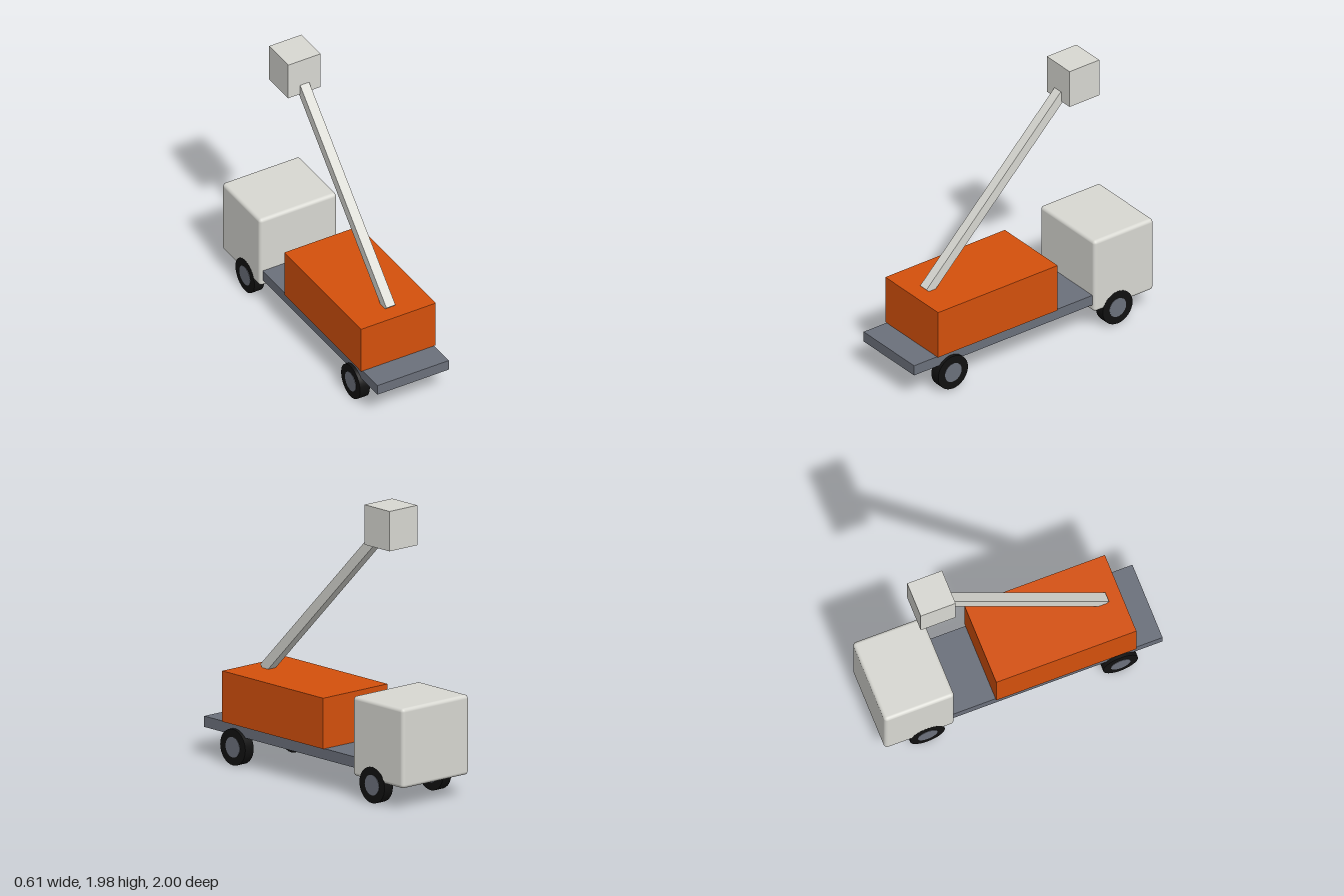
import * as THREE from 'three';
import { RoundedBoxGeometry } from 'three/addons/geometries/RoundedBoxGeometry.js';

const material = (name, color) => {
  const m = new THREE.MeshStandardMaterial({ color });
  m.name = name;
  return m;
};

export function createModel() {
  const group = new THREE.Group();
  group.name = 'bucketTruck';
  const white = material('offWhite', 0xd8d8d2);
  const orange = material('orange', 0xd4500c);
  const grey = material('slateGrey', 0x6b707b);
  const black = material('tyreBlack', 0x111111);

  const add = (name, geometry, mat, x, y, z, parent = group) => {
    const mesh = new THREE.Mesh(geometry, mat);
    mesh.name = name;
    mesh.position.set(x, y, z);
    parent.add(mesh);
    return mesh;
  };

  // Flat bed, running into the cab
  add('chassis', new THREE.BoxGeometry(0.555, 0.075, 1.75), grey, 0, 0.2425, 0.125);
  // Equipment body
  add('body', new THREE.BoxGeometry(0.58, 0.35, 1.005), orange, 0, 0.455, 0.305);
  // Rounded cab
  add('cab', new RoundedBoxGeometry(0.6, 0.55, 0.5, 4, 0.025), white, 0, 0.43, -0.75);

  // Wheels: tyre with a hub slightly proud on both faces
  const tyre = new THREE.CylinderGeometry(0.125, 0.125, 0.075, 32).rotateZ(Math.PI / 2);
  const hub = new THREE.CylinderGeometry(0.07, 0.07, 0.08, 32).rotateZ(Math.PI / 2);
  for (const side of [-1, 1]) {
    for (const z of [0.69, -0.695]) {
      const wheel = new THREE.Group();
      wheel.name = (side > 0 ? 'left' : 'right') + (z > 0 ? 'Front' : 'Rear') + 'Wheel';
      wheel.position.set(side * 0.2635, 0.127, z);
      add('tyre', tyre, black, 0, 0, 0, wheel);
      add('hub', hub, grey, 0, 0, 0, wheel);
      group.add(wheel);
    }
  }

  // Boom, rising at 45 degrees towards the rear
  const foot = new THREE.Vector3(0, 0.625, 0.686);
  const length = 1.6;
  const rise = length * Math.SQRT1_2;
  const boom = add('boom', new THREE.BoxGeometry(0.07, length, 0.07), white,
    0, foot.y + rise / 2, foot.z - rise / 2);
  boom.rotation.x = -Math.PI / 4;

  // Bucket at the boom tip
  add('bucket', new THREE.BoxGeometry(0.25, 0.275, 0.25), white, 0, 1.842, -0.55);

  return group;
}
